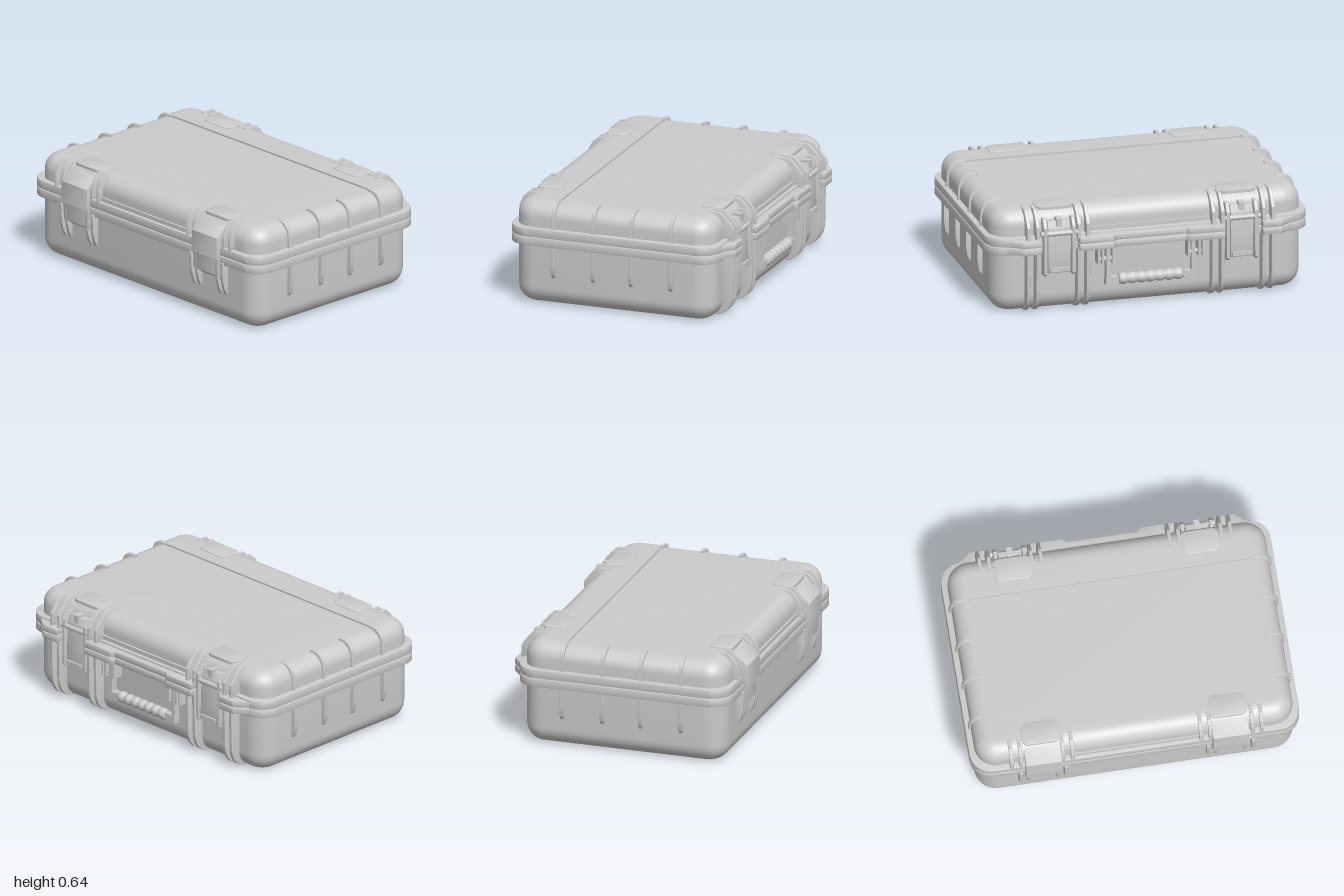
import * as THREE from 'three';
import { toCreasedNormals } from 'three/addons/utils/BufferGeometryUtils.js';

const mat = new THREE.MeshStandardMaterial({ color: 0xcccccc, roughness: 0.7 });
const X0 = -0.658, X1 = 0.622, HZ = 0.965; // plan of the case walls

// Rounded-rectangle shell lofted through [inset, y] rings, optionally clamped in x
function shell(profile, lo = -9, hi = 9) {
  const N = 10, pos = [], idx = [], M = 4 * (N + 1);
  for (const [inset, y] of profile) {
    const r = Math.max(0.13 - inset, 0.02);
    for (let q = 0; q < 4; q++) for (let k = 0; k <= N; k++) {
      const a = (q + k / N) * Math.PI / 2;
      const cx = q === 0 || q === 3 ? X1 - inset - r : X0 + inset + r;
      const cz = (q < 2 ? 1 : -1) * (HZ - inset - r);
      const x = THREE.MathUtils.clamp(cx + r * Math.cos(a), lo, hi);
      pos.push(x, y, cz + r * Math.sin(a));
    }
  }
  const last = profile.length - 1, mid = (Math.max(lo, X0) + Math.min(hi, X1)) / 2;
  for (let j = 0; j < last; j++) for (let i = 0; i < M; i++) {
    const a = j * M + i, b = j * M + (i + 1) % M;
    idx.push(a, a + M, b, b, a + M, b + M);
  }
  // end caps
  const c0 = pos.length / 3;
  pos.push(mid, profile[0][1], 0, mid, profile[last][1], 0);
  for (let i = 0; i < M; i++) {
    const n = (i + 1) % M;
    idx.push(c0, i, n, c0 + 1, last * M + n, last * M + i);
  }
  const g = new THREE.BufferGeometry();
  g.setAttribute('position', new THREE.Float32BufferAttribute(pos, 3));
  g.setIndex(idx);
  return toCreasedNormals(g, 0.6);
}

// Quarter-round from a wall to a flat face, as [inset, y]
function round(r, yWall, yFace) {
  return Array.from({ length: 11 }, (_, i) => {
    const a = i / 10 * Math.PI / 2;
    return [r * (1 - Math.cos(a)), yWall + (yFace - yWall) * Math.sin(a)];
  });
}

const shapeOf = pts => new THREE.Shape(pts.map(p => new THREE.Vector2(p[0], p[1])));

// Extrude a profile centred on its depth, with a small bevel
function slab(shape, depth, bevel = 0.004) {
  const g = new THREE.ExtrudeGeometry(shape, {
    depth: depth - 2 * bevel, bevelEnabled: true, bevelSize: bevel, bevelOffset: -bevel,
    bevelThickness: bevel, bevelSegments: 2, curveSegments: 10,
  });
  g.translate(0, 0, -depth / 2 + bevel);
  return toCreasedNormals(g, 0.5);
}

function roundRect(x0, x1, y0, y1, r) {
  const s = new THREE.Shape();
  s.absarc(x1 - r, y1 - r, r, 0, Math.PI / 2);
  s.absarc(x0 + r, y1 - r, r, Math.PI / 2, Math.PI);
  s.absarc(x0 + r, y0 + r, r, Math.PI, Math.PI * 1.5);
  s.absarc(x1 - r, y0 + r, r, Math.PI * 1.5, Math.PI * 2);
  s.closePath();
  return s;
}

export function createModel() {
  const model = new THREE.Group();
  const add = (name, geo, x = 0, y = 0, z = 0, ry = 0) => {
    const m = new THREE.Mesh(geo, mat);
    m.name = name;
    m.position.set(x, y, z);
    m.rotation.y = ry;
    model.add(m);
    return m;
  };
  const box = (name, w, h, d, x, y, z) => add(name, new THREE.BoxGeometry(w, h, d), x, y, z);
  const flat = (name, shape, depth, y) => add(name, slab(shape, depth).rotateX(-Math.PI / 2), 0, y, 0);

  // Lower case, lid with a shallow sunken middle between two raised bands
  add('lowerCase', shell([...round(0.1, 0.11, 0).reverse(), [0, 0.4]]));
  add('lidCentre', shell([[0, 0.46], ...round(0.1, 0.54, 0.629)]));
  add('lidBandLeft', shell([[0, 0.46], ...round(0.1, 0.54, 0.64)], 0.36, 9));
  add('lidBandRight', shell([[0, 0.46], ...round(0.1, 0.54, 0.64)], -9, -0.388));

  // Rims on both halves with the seal line between
  const rim = roundRect(-0.69, 0.655, -1, 1, 0.13);
  flat('lowerRim', rim, 0.052, 0.403);
  flat('upperRim', rim, 0.052, 0.459);
  flat('seal', roundRect(-0.682, 0.647, -0.992, 0.992, 0.122), 0.04, 0.43);

  // Bumper tabs standing out of the rim around the latches and handle
  const midTab = [[0.6, -0.45], [0.715, -0.45], [0.715, -0.24], [0.692, -0.215],
    [0.692, 0.215], [0.715, 0.24], [0.715, 0.45], [0.6, 0.45]];
  for (const y of [0.408, 0.452]) {
    flat('handleBumper', shapeOf(midTab), 0.04, y);
    for (const s of [1, -1]) {
      const tab = [[0.6, 0.69], [0.715, 0.69], [0.715, 0.805], [0.66, 0.875], [0.64, 0.92], [0.6, 0.92]];
      flat('cornerBumper', shapeOf(tab.map(p => [p[0], p[1] * s])), 0.04, y);
    }
  }

  // Ribs on the front and back walls
  const lidRib = new THREE.Shape();
  lidRib.moveTo(0.86, 0.47).lineTo(0.982, 0.47).lineTo(0.977, 0.55);
  lidRib.quadraticCurveTo(0.972, 0.642, 0.895, 0.643).lineTo(0.86, 0.643).closePath();
  const wallRib = shapeOf([[0.94, 0.18], [0.97, 0.18], [0.985, 0.2], [0.995, 0.26], [0.995, 0.39], [0.94, 0.39]]);
  const lidRibGeo = slab(lidRib, 0.022), wallRibGeo = slab(wallRib, 0.024);
  for (const x of [-0.392, -0.137, 0.105, 0.36]) for (const s of [1, -1]) {
    add('lidRib', lidRibGeo, x, 0, 0, -s * Math.PI / 2);
    add('wallRib', wallRibGeo, x, 0, 0, -s * Math.PI / 2);
  }

  // Full-height ribs beside the latches, shorter ones beside the hinges
  const lowRib = new THREE.Shape();
  lowRib.moveTo(0.48, 0.001).lineTo(0.56, 0.001).quadraticCurveTo(0.675, 0.01, 0.685, 0.14);
  lowRib.lineTo(0.69, 0.4).lineTo(0.48, 0.4).closePath();
  const highRib = shapeOf([[0.52, 0.46], [0.69, 0.46], [0.686, 0.55], [0.65, 0.6], [0.61, 0.64], [0.59, 0.645], [0.52, 0.645]]);
  const hingeLow = shapeOf([[0.63, 0.18], [0.665, 0.18], [0.685, 0.22], [0.7, 0.28], [0.705, 0.39], [0.63, 0.39]]);
  const hingeHigh = shapeOf([[0.56, 0.46], [0.692, 0.46], [0.69, 0.55], [0.665, 0.605], [0.625, 0.643], [0.56, 0.643]]);
  const lowGeo = slab(lowRib, 0.022), highGeo = slab(highRib, 0.022);
  const hingeLowGeo = slab(hingeLow, 0.022), hingeHighGeo = slab(hingeHigh, 0.022);
  for (const s of [1, -1]) for (const z of [0.39, 0.447, 0.703, 0.76]) {
    add('latchRibLow', lowGeo, 0, 0, s * z);
    add('latchRibHigh', highGeo, 0, 0, s * z);
    add('hingeRibHigh', hingeHighGeo, 0, 0, s * z, Math.PI);
  }

  // Latches, hinges and the panels over them on the lid
  const latch = slab(shapeOf([[0.6, 0.575], [0.65, 0.575], [0.672, 0.53], [0.676, 0.4], [0.68, 0.27], [0.67, 0.25], [0.6, 0.25]]), 0.14);
  const ear = slab(shapeOf([[0.58, 0.59], [0.655, 0.59], [0.688, 0.54], [0.69, 0.25], [0.67, 0.235], [0.6, 0.235]]), 0.022);
  const hinge = slab(shapeOf([[0.56, 0.628], [0.63, 0.61], [0.665, 0.59], [0.715, 0.545], [0.72, 0.41], [0.705, 0.4], [0.7, 0.3], [0.66, 0.27], [0.6, 0.27]]), 0.22);
  const pin = new THREE.CylinderGeometry(0.016, 0.016, 0.23, 12).rotateX(Math.PI / 2);
  for (const s of [1, -1]) {
    const z = s * 0.568;
    add('latch', latch, 0, 0, z);
    add('latchPin', pin, 0.672, 0.5, z);
    box('latchCatch', 0.07, 0.05, 0.035, 0.635, 0.565, z);
    box('latchLip', 0.02, 0.025, 0.12, 0.682, 0.275, z);
    add('hinge', hinge, 0, 0, z, Math.PI);
    for (const e of [-0.088, 0.088]) {
      add('latchEar', ear, 0, 0, z + e);
      add('hingeRibLow', hingeLowGeo, 0, 0, z + e, Math.PI);
      add('hingeRibLow', hingeLowGeo, 0, 0, z + e * 1.55, Math.PI);
    }
    const lat = slab(roundRect(0.437, 0.585, -0.115, 0.115, 0.04), 0.02, 0.002).rotateX(-Math.PI / 2);
    add('latchPanel', lat, 0, 0.634, z);
    const hin = slab(roundRect(0.472, 0.615, -0.115, 0.115, 0.04), 0.02, 0.002).rotateX(-Math.PI / 2);
    add('hingePanel', hin, 0, 0.634, z, Math.PI);
  }

  // Long ledges along the lid sides between the ribs
  box('lidLedgeLeft', 0.04, 0.03, 0.76, 0.615, 0.495, 0);
  box('lidLedgeRight', 0.04, 0.03, 0.76, -0.65, 0.495, 0);

  // Carrying handle: ridged grip, arms and mounts
  const prof = [new THREE.Vector2(0, -0.2)];
  for (let i = 0; i <= 56; i++) {
    prof.push(new THREE.Vector2(0.027 + 0.009 * Math.abs(Math.sin(i / 8 * Math.PI)), -0.2 + i / 140));
  }
  prof.push(new THREE.Vector2(0, 0.2));
  add('handleGrip', new THREE.LatheGeometry(prof, 18).rotateX(Math.PI / 2), 0.665, 0.178, 0);
  box('handleBar', 0.04, 0.04, 0.55, 0.66, 0.175, 0);
  for (const s of [1, -1]) {
    box('handleArm', 0.04, 0.24, 0.025, 0.66, 0.265, s * 0.265);
    box('handleFoot', 0.045, 0.045, 0.06, 0.66, 0.168, s * 0.25);
    for (const z of [0.235, 0.3, 0.325]) box('handleMount', 0.08, 0.1, 0.016, 0.65, 0.335, s * z);
    add('handlePivot', new THREE.CylinderGeometry(0.016, 0.016, 0.1, 12).rotateX(Math.PI / 2), 0.66, 0.31, s * 0.28);
  }
  return model;
}
